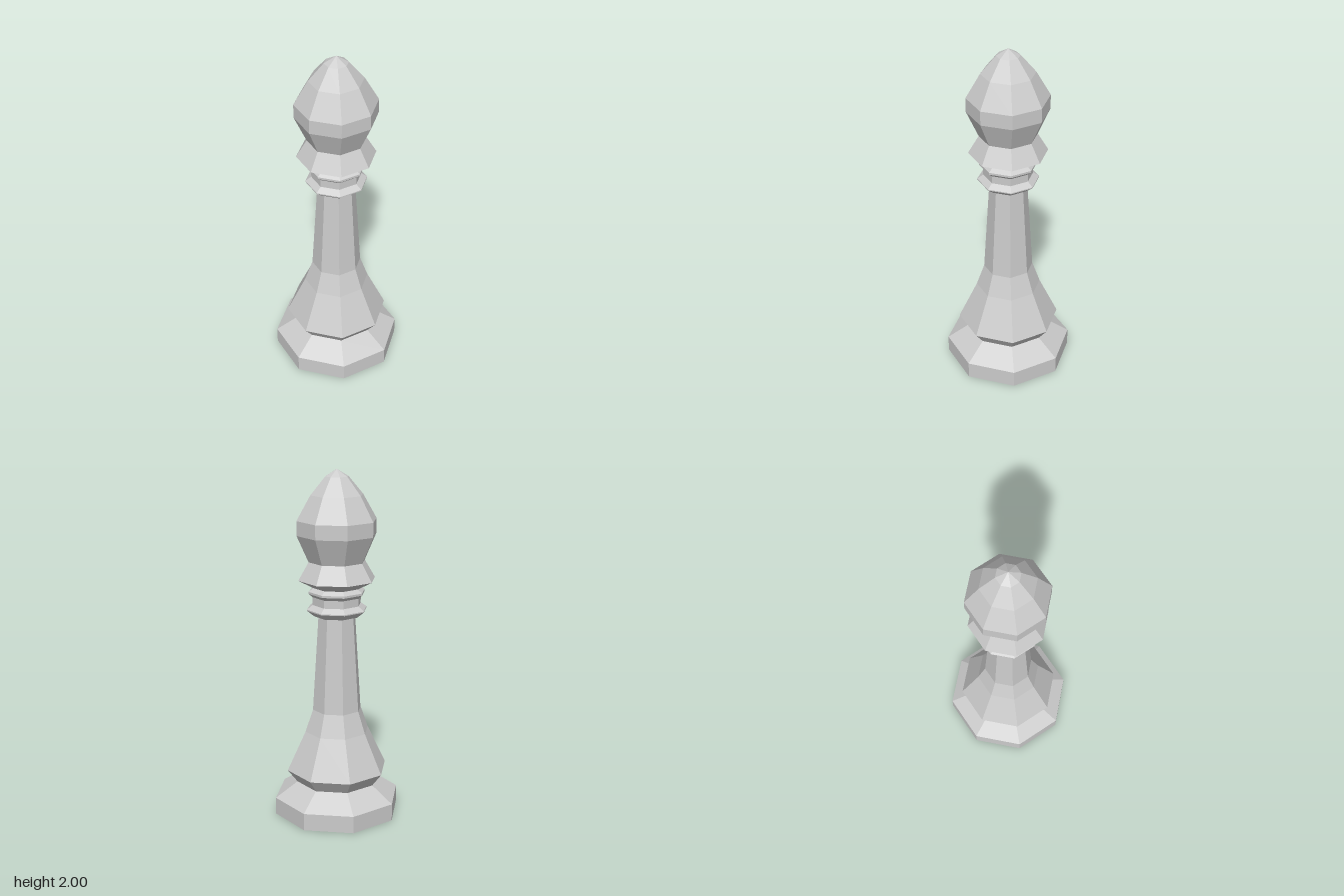
import * as THREE from 'three';

const SIDES = 8;

// Each part is a faceted turning: [radius, height] from bottom to top.
// Neighbouring parts share their end ring, so the body stays closed.
const PARTS = {
  base: [[0, 0], [0.368, 0], [0.368, 0.1], [0.238, 0.19]],
  foot: [[0.238, 0.19], [0.295, 0.265], [0.187, 0.495], [0.142, 0.625]],
  stem: [[0.142, 0.625], [0.107, 1.18]],
  lowerRing: [[0.107, 1.18], [0.132, 1.18], [0.174, 1.214], [0.174, 1.22], [0.14, 1.245]],
  neck: [[0.14, 1.245], [0.14, 1.29]],
  upperRing: [[0.14, 1.29], [0.163, 1.31], [0.163, 1.322], [0.135, 1.342]],
  collar: [[0.135, 1.342], [0.222, 1.388], [0.162, 1.49]],
  head: [[0.162, 1.49], [0.229, 1.64], [0.229, 1.722], [0.15, 1.86], [0.066, 1.96], [0, 2]],
};

export function createModel() {
  const group = new THREE.Group();
  group.name = 'bishop';
  const material = new THREE.MeshStandardMaterial({ color: 0xcccccc, flatShading: true });

  for (const [name, profile] of Object.entries(PARTS)) {
    const points = profile.map(([r, y]) => new THREE.Vector2(r, y));
    const mesh = new THREE.Mesh(new THREE.LatheGeometry(points, SIDES), material);
    mesh.name = name;
    group.add(mesh);
  }
  return group;
}
